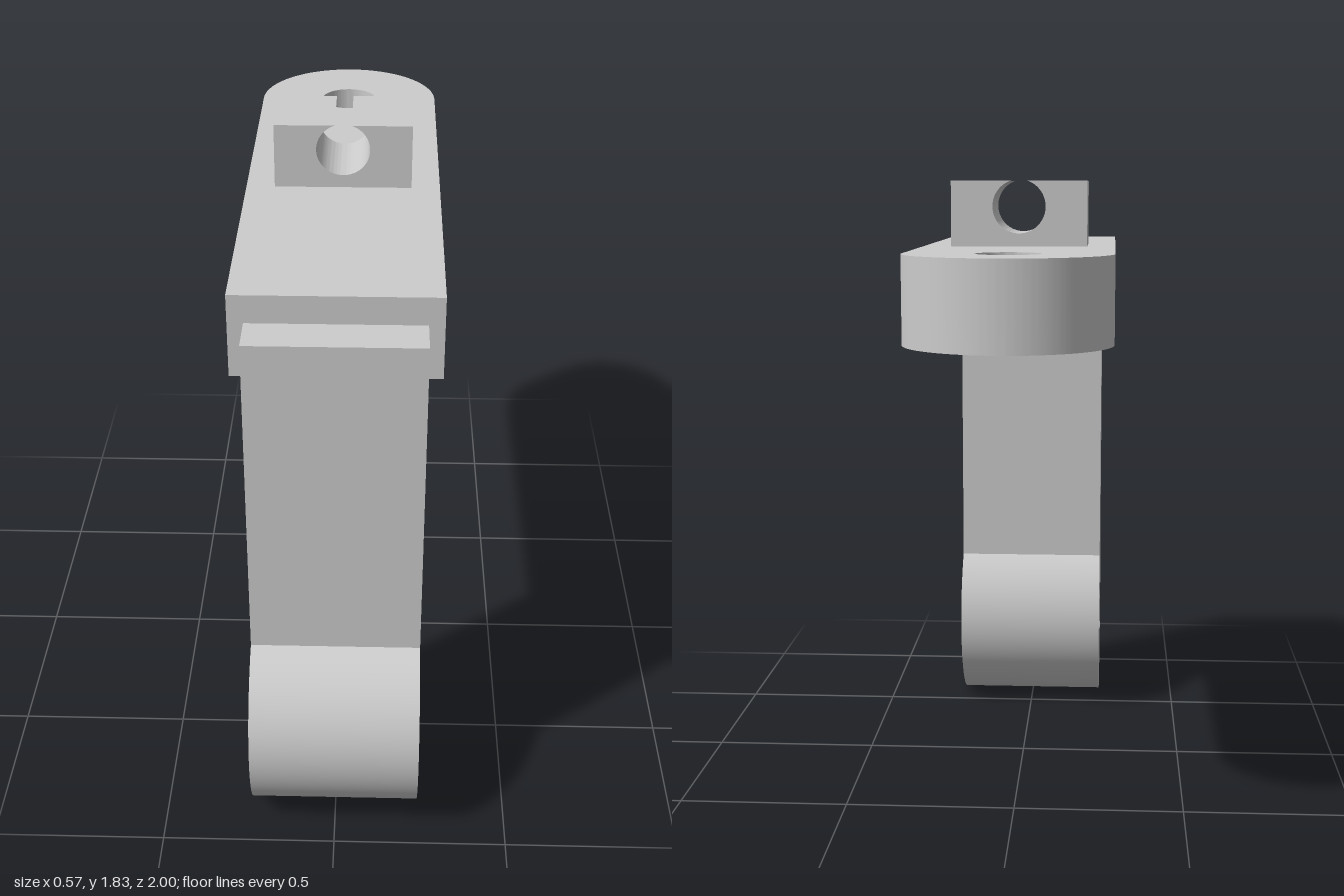
import * as THREE from 'three';
import { toCreasedNormals } from 'three/addons/utils/BufferGeometryUtils.js';

const SEGMENTS = 64;

// Straight extrusion with sharp edges and smooth curved walls
function extrude(shape, depth) {
  const geometry = new THREE.ExtrudeGeometry(shape, { depth, bevelEnabled: false, curveSegments: SEGMENTS });
  return toCreasedNormals(geometry, Math.PI / 6);
}

function addHole(shape, x, y, radius) {
  const hole = new THREE.Path();
  hole.absarc(x, y, radius, 0, Math.PI * 2, true);
  shape.holes.push(hole);
}

export function createModel() {
  const model = new THREE.Group();
  model.name = 'pivotBracket';
  const grey = new THREE.MeshStandardMaterial({ color: 0xcccccc });
  grey.name = 'plainGrey';

  const add = (name, geometry) => {
    const mesh = new THREE.Mesh(geometry, grey);
    mesh.name = name;
    model.add(mesh);
    return mesh;
  };

  // Upright leg and its round pivot eye, one side profile (shape x is -z)
  const eye = { x: -0.697, y: 0.303, r: 0.303 };
  const front = -0.815, back = -0.5, legTop = 1.556;
  const leg = new THREE.Shape();
  leg.moveTo(back, legTop);
  leg.lineTo(front, legTop);
  leg.absarc(eye.x, eye.y, eye.r,
    Math.acos((front - eye.x) / eye.r),
    Math.acos((back - eye.x) / eye.r) + Math.PI * 2, false);
  leg.closePath();
  addHole(leg, eye.x, eye.y, 0.088);
  const legMesh = add('uprightLeg', extrude(leg, 0.48));
  legMesh.rotation.y = Math.PI / 2;
  legMesh.position.x = -0.24;

  // Horizontal arm with a rounded rear end and a bolt hole (shape y is -z)
  const arm = new THREE.Shape();
  arm.moveTo(-0.283, -0.695);
  arm.lineTo(0.283, -0.695);
  arm.absarc(0, 0.717, 0.283, 0, Math.PI, false);
  arm.closePath();
  addHole(arm, 0, 0.717, 0.088);
  const armMesh = add('horizontalArm', extrude(arm, 0.24));
  armMesh.rotation.x = -Math.PI / 2;
  armMesh.position.y = 1.397;

  // Clip block with a round channel that opens through its top
  const channel = { y: 0.116, r: 0.078 }, top = 0.19;
  const lip = Math.asin((top - channel.y) / channel.r);
  const clip = new THREE.Shape();
  clip.moveTo(-0.2, 0);
  clip.lineTo(0.2, 0);
  clip.lineTo(0.2, top);
  clip.absarc(0, channel.y, channel.r, lip, Math.PI - lip, true);
  clip.lineTo(-0.2, top);
  clip.closePath();
  add('clipBlock', extrude(clip, 0.24)).position.set(0, 1.637, -0.232);

  return model;
}
